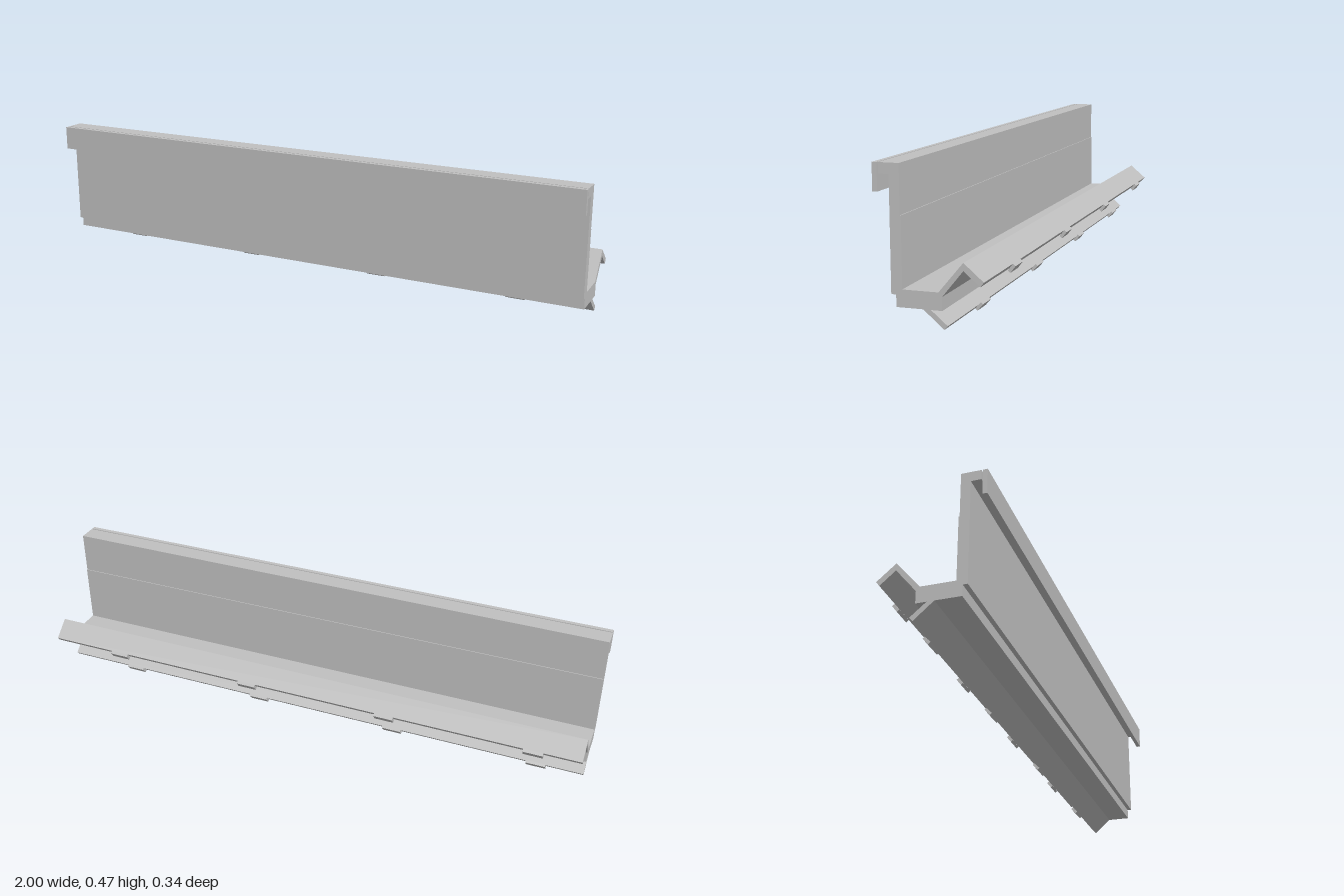
import * as THREE from 'three';

export function createModel() {
  const group = new THREE.Group();
  group.name = 'mouldedRail';
  const grey = new THREE.MeshStandardMaterial({ color: 0xc0c0c0 });
  grey.name = 'light grey';

  // Extrudes a [z, y] cross-section along x, centred on the given x
  function extrude(name, points, width = 2, x = 0) {
    const shape = new THREE.Shape(points.map(([z, y]) => new THREE.Vector2(z, y)));
    const geometry = new THREE.ExtrudeGeometry(shape, { depth: width, bevelEnabled: false });
    geometry.translate(0, 0, -width / 2).rotateY(-Math.PI / 2).translate(x, 0, 0);
    const mesh = new THREE.Mesh(geometry, grey);
    mesh.name = name;
    group.add(mesh);
  }

  // Upright wall with its forward cap and a small step on the back
  extrude('wall', [
    [0.118, 0.098], [0.118, 0.438], [0.15, 0.438], [0.15, 0.47],
    [0.087, 0.47], [0.087, 0.324], [0.084, 0.324], [0.084, 0.098],
  ]);

  // Thin strip hanging in front of the cap
  extrude('frontStrip', [[0.154, 0.387], [0.169, 0.387], [0.169, 0.47], [0.154, 0.47]]);

  // Foot block behind and below the wall
  extrude('base', [
    [0.103, 0.062], [0.103, 0.098], [0.084, 0.098], [0.084, 0.114],
    [-0.025, 0.114], [-0.036, 0.102], [-0.036, 0.062],
  ]);

  // Bent upper arm and straight lower arm
  extrude('upperArm', [
    [-0.025, 0.114], [-0.1, 0.203], [-0.16, 0.152],
    [-0.149, 0.138], [-0.1, 0.18], [-0.036, 0.102],
  ]);
  extrude('lowerArm', [[0.021, 0.062], [-0.002, 0.062], [-0.052, 0.02], [-0.041, 0.008]]);

  // Four clip tabs along the free edge of each arm
  for (let i = 0; i < 4; i++) {
    const x = -0.837 + i * 0.522;
    extrude('upperTab', [[-0.16, 0.152], [-0.168, 0.145], [-0.152, 0.124], [-0.144, 0.131]], 0.068, x);
    extrude('lowerTab', [[-0.041, 0.008], [-0.048, 0.001], [-0.066, 0.022], [-0.059, 0.028]], 0.068, x);
  }
  return group;
}
